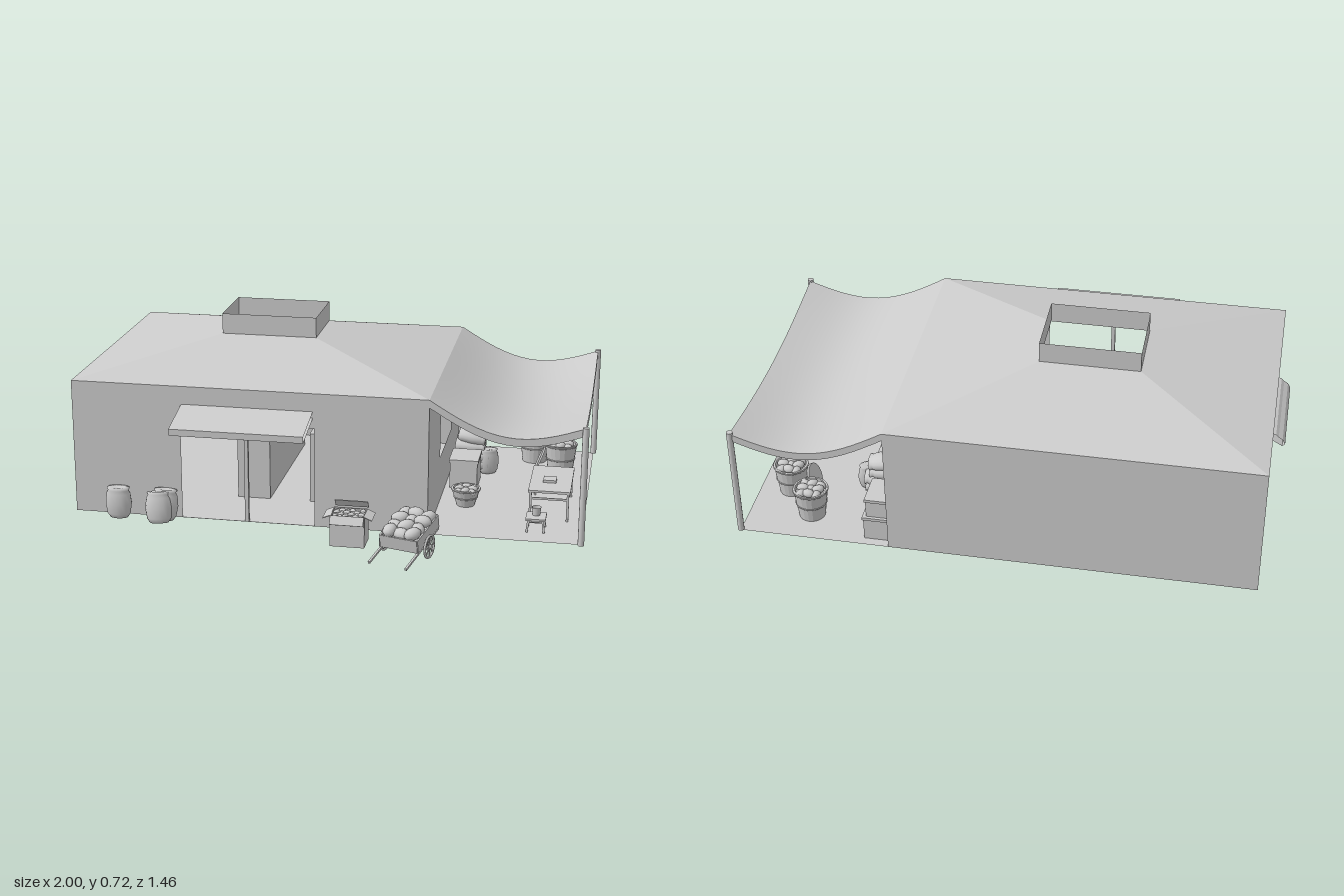
import * as THREE from 'three';

const grey = new THREE.MeshStandardMaterial({ color: 0xcccccc, side: THREE.DoubleSide });
const flat = new THREE.MeshStandardMaterial({ color: 0xcccccc, side: THREE.DoubleSide, flatShading: true });
const G = 0.015; // floor level

export function createModel() {
  const model = new THREE.Group();

  const add = (name, geo, x = 0, y = 0, z = 0, parent = model, mat = grey) => {
    const m = new THREE.Mesh(geo, mat);
    m.name = name;
    m.position.set(x, y, z);
    parent.add(m);
    return m;
  };
  const group = (name, x, y, z, ry = 0) => {
    const g = new THREE.Group();
    g.name = name;
    g.position.set(x, y, z);
    g.rotation.y = ry;
    model.add(g);
    return g;
  };
  // box given by its bounds
  const box = (name, x0, x1, y0, y1, z0, z1, parent = model) =>
    add(name, new THREE.BoxGeometry(x1 - x0, y1 - y0, z1 - z0), (x0 + x1) / 2, (y0 + y1) / 2, (z0 + z1) / 2, parent);
  // flat four-cornered faces
  const quads = (name, list) => {
    const pos = list.flatMap(([a, b, c, d]) => [a, b, c, a, c, d].flat());
    const geo = new THREE.BufferGeometry();
    geo.setAttribute('position', new THREE.Float32BufferAttribute(pos, 3));
    geo.computeVertexNormals();
    return add(name, geo);
  };
  const rect = (x0, x1, z0, z1, y) => [[x0, y, z1], [x1, y, z1], [x1, y, z0], [x0, y, z0]];
  const ring = (a, b) => a.map((p, i) => [p, a[(i + 1) % 4], b[(i + 1) % 4], b[i]]);
  // wall with one opening, drawn in its own plane
  const wall = (name, a0, a1, hole, x, z, ry) => {
    const s = new THREE.Shape();
    s.moveTo(a0, G).lineTo(a1, G).lineTo(a1, 0.54).lineTo(a0, 0.54).closePath();
    if (hole) {
      const [h0, h1, y0, y1] = hole, p = new THREE.Path();
      p.moveTo(h0, y0).lineTo(h0, y1).lineTo(h1, y1).lineTo(h1, y0).closePath();
      s.holes.push(p);
    }
    add(name, new THREE.ShapeGeometry(s), x, 0, z).rotation.y = ry;
  };

  // building shell
  const X0 = -0.955, X1 = 0.415, Z0 = -0.72, Z1 = 0.34, X2 = 0.985;
  const side = Math.PI / 2;
  wall('frontWall', X0, X1, [-0.53, -0.015, G + 0.001, 0.405], 0, Z1, 0);
  wall('backWall', -X1, -X0, null, 0, Z0, Math.PI);
  wall('leftWall', -Z1, -Z0, [0.01, 0.36, 0.2, 0.43], X1, 0, side);
  wall('rightWall', Z0, Z1, [-0.36, -0.01, 0.2, 0.44], X0, 0, -side);
  quads('floor', [rect(X0, X2, Z0, Z1, G)]);

  // hipped roof with an open raised vent
  const eave = rect(X0, X1, Z0, Z1, 0.54);
  const curb = rect(-0.46, -0.085, -0.325, -0.055, 0.645);
  quads('roof', ring(eave, curb));
  quads('roofVent', ring(curb, rect(-0.46, -0.085, -0.325, -0.055, 0.725)));

  // open-ended awning over the door: top, front edge, underside
  const A = (y, z) => [[-0.525, y, z], [-0.02, y, z]];
  const strip = (p, q) => [p[0], p[1], q[1], q[0]];
  quads('doorAwning', [
    strip(A(0.43, 0.52), A(0.47, Z1)),
    strip(A(0.405, 0.52), A(0.43, 0.52)),
    strip(A(0.445, Z1), A(0.405, 0.52)),
  ]);
  box('doorPost', -0.285, -0.27, G, 0.405, 0.325, 0.34);

  // ribbed shade over the side window
  const shade = [[X0, 0.46], [-0.965, 0.457], [-0.975, 0.447], [-0.99, 0.437], [-1, 0.42], [-0.99, 0.41], [X0, 0.43]]
    .map(([x, y]) => [[x, y, -0.37], [x, y, -0.01]]);
  quads('windowShade', shade.slice(1).map((p, i) => strip(p, shade[i])));

  // counters inside
  box('counter', -0.375, -0.245, G, 0.295, -0.6, 0.08);
  box('counter', -0.085, 0.05, G, 0.295, -0.6, 0.08);

  // sagging fabric canopy and its posts
  const cloth = new THREE.BoxGeometry(X2 - X1, 0.03, Z1 - Z0, 16, 1, 20);
  const p = cloth.attributes.position;
  for (let i = 0; i < p.count; i++) {
    const u = p.getX(i) / (X2 - X1) + 0.5, w = p.getZ(i) / (Z1 - Z0);
    const sag = 0.075 * u + 0.088 * Math.sin(Math.PI * u) + 0.042 * u * Math.cos(Math.PI * w);
    p.setY(i, p.getY(i) + 0.525 - sag);
  }
  cloth.computeVertexNormals();
  add('canopy', cloth, (X1 + X2) / 2, 0, (Z0 + Z1) / 2);
  for (const z of [Z0 + 0.005, Z1 + 0.005])
    add('canopyPost', new THREE.CylinderGeometry(0.012, 0.012, 0.455, 12), X2, G + 0.2275, z);

  // stuffed sacks
  const sackGeo = new THREE.LatheGeometry(
    [[0, 0], [0.035, 0.003], [0.046, 0.02], [0.052, 0.06], [0.047, 0.1], [0.04, 0.112], [0.045, 0.122], [0.03, 0.124], [0, 0.118]]
      .map(([r, y]) => new THREE.Vector2(r, y)), 16);
  const sack = (x, y, z, rx, ry, rz, s = 1) => {
    const m = add('sack', sackGeo, x, y, z);
    m.scale.set(s, s, 0.65 * s);
    m.rotation.set(rx, ry, rz);
  };
  sack(-0.775, 0.01, 0.37, 0, 0, 0);
  sack(-0.605, 0.01, 0.405, -0.2, 0.2, 0.06);
  sack(-0.595, 0.012, 0.375, -0.1, 0.1, -0.05);
  for (let i = 0; i < 4; i++) // lying pile by the wall
    sack(0.43 + 0.012 * (i % 2), G + 0.03 + i * 0.043, -0.4, -side, 0.1 * i - 0.1, -side, 1.15 - i * 0.07);
  sack(0.57, G, -0.38, 0, 0.4, 0, 0.85);

  // round produce heaped in rows
  const heap = (parent, nx, nz, w, d, y, r) => {
    const geo = new THREE.SphereGeometry(r, 10, 8);
    for (let i = 0; i < nx; i++) for (let j = 0; j < nz; j++) {
      const m = add('produce', geo, ((i + 0.5) / nx - 0.5) * w, y + r * 0.3 * ((i + j) % 2), ((j + 0.5) / nz - 0.5) * d, parent);
      m.scale.set(0.85, 0.75, 1.15);
      m.rotation.y = i * 1.3 + j * 2.1;
    }
  };
  // open tray: floor and four sides
  const tray = (parent, name, w, d, y0, y1, t = 0.004) => {
    box(name + 'Base', -w / 2, w / 2, y0, y0 + t, -d / 2, d / 2, parent);
    for (const s of [-1, 1]) {
      add(name + 'Side', new THREE.BoxGeometry(t, y1 - y0, d), s * w / 2, (y0 + y1) / 2, 0, parent);
      add(name + 'End', new THREE.BoxGeometry(w, y1 - y0, t), 0, (y0 + y1) / 2, s * d / 2, parent);
    }
  };

  // carton with folded-out flaps
  const carton = group('carton', 0.142, G, 0.475);
  tray(carton, 'carton', 0.125, 0.09, 0, 0.12);
  heap(carton, 6, 4, 0.115, 0.08, 0.11, 0.012);
  for (const s of [-1, 1]) {
    add('cartonFlap', new THREE.BoxGeometry(0.032, 0.003, 0.085), s * 0.077, 0.113, 0, carton).rotation.z = -s * 0.4;
    add('cartonFlap', new THREE.BoxGeometry(0.125, 0.003, 0.035), 0, 0.12 - s * 0.014, s * 0.056, carton).rotation.x = s * 0.95;
  }

  // handcart tipped on to its handles
  const cart = group('handcart', 0.375, G, 0.52, -0.28);
  const bed = new THREE.Group();
  bed.name = 'cartBed';
  bed.position.set(0, 0.06, 0);
  bed.rotation.x = 0.2;
  cart.add(bed);
  tray(bed, 'cart', 0.145, 0.19, 0, 0.05, 0.006);
  heap(bed, 3, 4, 0.135, 0.18, 0.05, 0.03);
  for (const s of [-1, 1]) {
    box('cartHandle', s * 0.072 - 0.004, s * 0.072 + 0.004, -0.008, 0, -0.09, 0.2, bed);
    const wheel = new THREE.Group();
    wheel.name = 'cartWheel';
    wheel.position.set(s * 0.088, 0.045, 0.025);
    wheel.rotation.y = side;
    cart.add(wheel);
    add('wheelRim', new THREE.TorusGeometry(0.041, 0.005, 6, 24), 0, 0, 0, wheel);
    add('wheelHub', new THREE.SphereGeometry(0.009, 10, 8), 0, 0, 0, wheel);
    for (let i = 0; i < 4; i++)
      add('wheelSpoke', new THREE.BoxGeometry(0.08, 0.005, 0.004), 0, 0, 0, wheel).rotation.z = i * Math.PI / 4;
  }
  add('cartAxle', new THREE.CylinderGeometry(0.004, 0.004, 0.176, 8), 0, 0.045, 0.025, cart).rotation.z = side;

  // table and stool
  const table = (name, x, z, w, d, h, t, splay) => {
    const g = group(name, x, G, z);
    box(name + 'Top', -w / 2, w / 2, h - t, h, -d / 2, d / 2, g);
    for (const sx of [-1, 1]) {
      for (const sz of [-1, 1])
        add(name + 'Leg', new THREE.BoxGeometry(t, h - t, t), sx * (w / 2 - t), (h - t) / 2, sz * (d / 2 - t), g)
          .rotation.set(-sz * splay, 0, sx * splay);
      box(name + 'Rail', -w / 2 + t, w / 2 - t, h * 0.68, h * 0.75, sx * (d / 2 - t) - 0.002, sx * (d / 2 - t) + 0.002, g);
    }
    return g;
  };
  const desk = table('table', 0.85, -0.025, 0.16, 0.29, 0.12, 0.009, 0);
  box('book', -0.03, 0.02, 0.12, 0.13, 0, 0.05, desk);
  const stool = table('stool', 0.81, 0.215, 0.075, 0.08, 0.055, 0.008, 0.12);
  add('cup', new THREE.CylinderGeometry(0.018, 0.014, 0.032, 14, 1, true), 0, 0.071, -0.01, stool);

  // tapered tubs with hoops and contents
  const tub = (name, x, z, r0, r1, h, n) => {
    const g = group(name, x, G, z);
    add(name + 'Body', new THREE.LatheGeometry([[0, 0], [r0, 0], [r1, h], [r1 - 0.007, h], [r1 - 0.009, h - 0.02], [0, h - 0.02]]
      .map(([r, y]) => new THREE.Vector2(r, y)), 20), 0, 0, 0, g, flat);
    for (const f of [0.5, 0.96])
      add(name + 'Hoop', new THREE.TorusGeometry(r0 + (r1 - r0) * f, 0.003, 6, 24), 0, h * f, 0, g).rotation.x = side;
    heap(g, n, n, r1 * 1.35, r1 * 1.35, h - 0.01, r1 * 0.32);
  };
  tub('barrel', 0.86, -0.45, 0.05, 0.066, 0.125, 3);
  tub('barrel', 0.745, -0.58, 0.05, 0.066, 0.125, 3);
  tub('basket', 0.52, 0, 0.035, 0.057, 0.07, 3);
  add('barrelLid', new THREE.CylinderGeometry(0.055, 0.055, 0.008, 20), 0.775, G + 0.055, -0.43).rotation.z = 1.2;

  // crates along the wall
  const crate = (x, z, w, h, d, y = G) => {
    const g = group('crate', x, y, z);
    box('crateBody', -w / 2, w / 2, 0, h - 0.012, -d / 2, d / 2, g);
    box('crateLid', -w / 2 - 0.004, w / 2 + 0.004, h - 0.012, h, -d / 2 - 0.004, d / 2 + 0.004, g);
  };
  crate(0.49, -0.245, 0.11, 0.12, 0.14);
  crate(0.47, -0.615, 0.09, 0.1, 0.14);
  crate(0.465, -0.615, 0.08, 0.08, 0.125, G + 0.1);

  return model;
}
